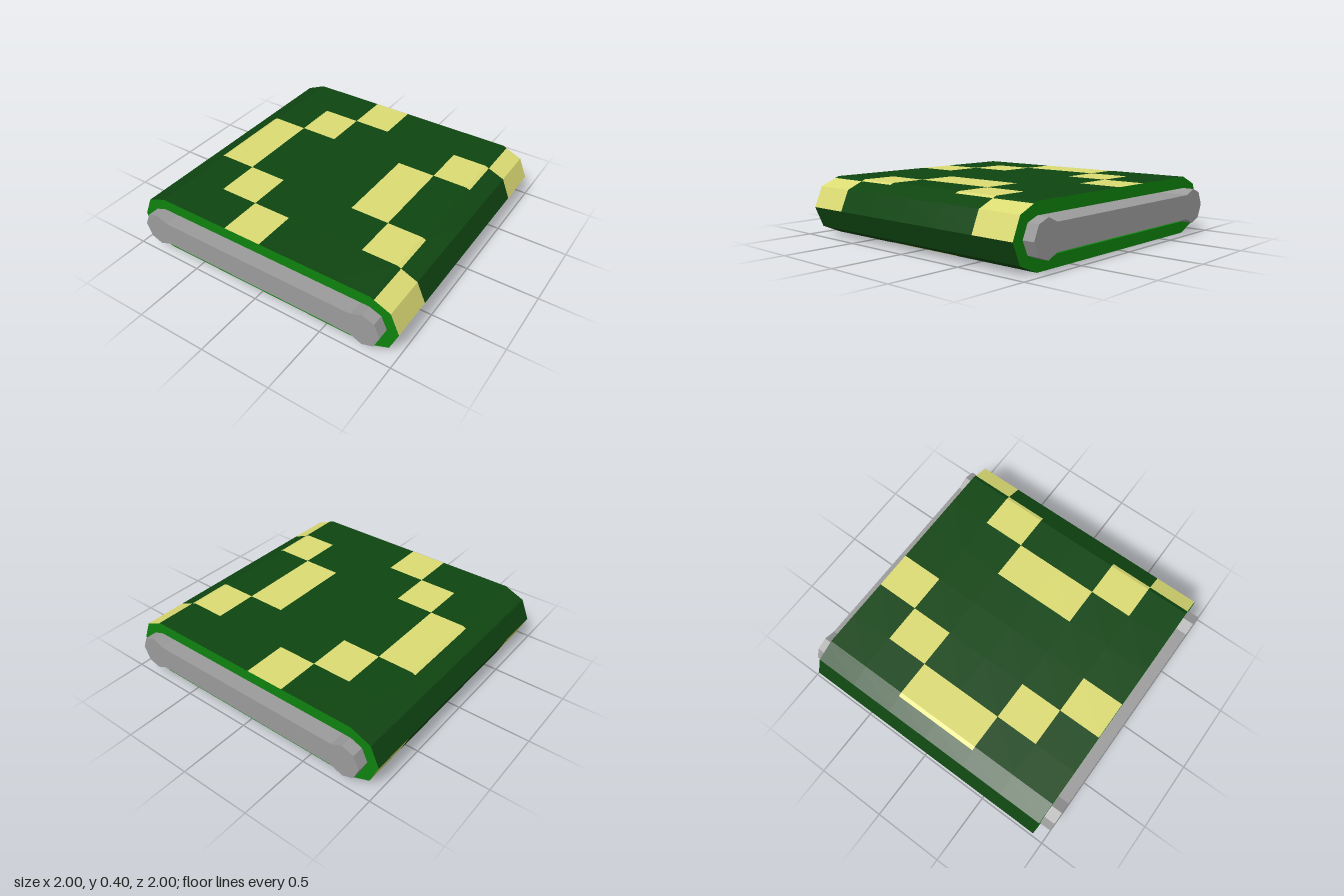
import * as THREE from 'three';

const material = (name, color) => {
  const m = new THREE.MeshStandardMaterial({ color });
  m.name = name;
  return m;
};

// Mirrors an upper-left quarter (x, height above middle) into a closed clockwise loop
function mirrorLoop(quarter) {
  const top = [...quarter, ...quarter.slice(1).reverse().map(([x, h]) => [-x, h]), [-quarter[0][0], 0]];
  const bottom = top.slice(1, -1).reverse().map(([x, h]) => [x, -h]);
  return [...top, ...bottom].map(([x, h]) => new THREE.Vector2(x, h + 0.2));
}

const at = (p, z) => [p.x, p.y, z];
const addQuad = (out, a, b, c, d) => out.push(...a, ...b, ...c, ...a, ...c, ...d);

function facesMesh(name, positions, mat) {
  const geo = new THREE.BufferGeometry();
  geo.setAttribute('position', new THREE.Float32BufferAttribute(positions, 3));
  geo.computeVertexNormals();
  const mesh = new THREE.Mesh(geo, mat);
  mesh.name = name;
  return mesh;
}

export function createModel() {
  const darkGreen = material('dark green', 0x0f4511);
  const brightGreen = material('bright green', 0x0e820e);
  const paleYellow = material('pale yellow', 0xdbdb73);
  const grey = material('grey', 0x9b9b9b);

  const group = new THREE.Group();
  const half = 0.92;
  const outer = mirrorLoop([[-1, 0], [-0.94, 0.14], [-0.8, 0.2]]);
  const inner = mirrorLoop([[-0.92, 0], [-0.88, 0.09], [-0.8, 0.12]]);
  const next = (loop, i) => loop[(i + 1) % loop.length];

  // Outer wall: 16 columns around the perimeter by 6 rows along z, with a zigzag of yellow cells
  const columns = 16, rows = 6, rowDepth = (2 * half) / rows;
  const perimeter = outer.reduce((sum, p, i) => sum + p.distanceTo(next(outer, i)), 0);
  const columnWidth = perimeter / columns;
  const wall = [], cells = [];
  let start = 0;
  outer.forEach((p, i) => {
    const q = next(outer, i);
    const length = p.distanceTo(q);
    // Cut this side wherever a column boundary crosses it
    const cuts = [0];
    for (let c = 1; c < columns; c++) {
      const s = c * columnWidth - start;
      if (s > 1e-5 && s < length - 1e-5) cuts.push(s);
    }
    cuts.push(length);
    for (let k = 0; k + 1 < cuts.length; k++) {
      const a = p.clone().lerp(q, cuts[k] / length);
      const b = p.clone().lerp(q, cuts[k + 1] / length);
      const column = Math.floor((start + (cuts[k] + cuts[k + 1]) / 2) / columnWidth);
      for (let r = 0; r < rows; r++) {
        const z0 = -half + r * rowDepth, z1 = z0 + rowDepth;
        const fromMiddle = r < 3 ? 2 - r : r - 3;
        const list = column % 4 === fromMiddle + 1 ? cells : wall;
        addQuad(list, at(a, z1), at(b, z1), at(b, z0), at(a, z0));
      }
    }
    start += length;
  });
  group.add(facesMesh('sleeveWall', wall, darkGreen));
  group.add(facesMesh('zigzagCells', cells, paleYellow));

  // Rims at both ends and the lining of the sleeve
  const rim = [], lining = [];
  outer.forEach((p, i) => {
    const q = next(outer, i), a = inner[i], b = next(inner, i);
    addQuad(rim, at(p, half), at(a, half), at(b, half), at(q, half));
    addQuad(rim, at(p, -half), at(q, -half), at(b, -half), at(a, -half));
    addQuad(lining, at(a, -half), at(b, -half), at(b, half), at(a, half));
  });
  group.add(facesMesh('sleeveRims', rim, brightGreen));
  group.add(facesMesh('sleeveLining', lining, brightGreen));

  // Core: a bar with thicker edges that runs through the sleeve
  const coreLoop = mirrorLoop([[-0.92, 0], [-0.88, 0.09], [-0.8, 0.12], [-0.72, 0.085]]);
  const coreGeo = new THREE.ExtrudeGeometry(new THREE.Shape(coreLoop), { depth: 2, bevelEnabled: false });
  coreGeo.translate(0, 0, -1);
  const core = new THREE.Mesh(coreGeo, grey);
  core.name = 'core';
  group.add(core);

  return group;
}
